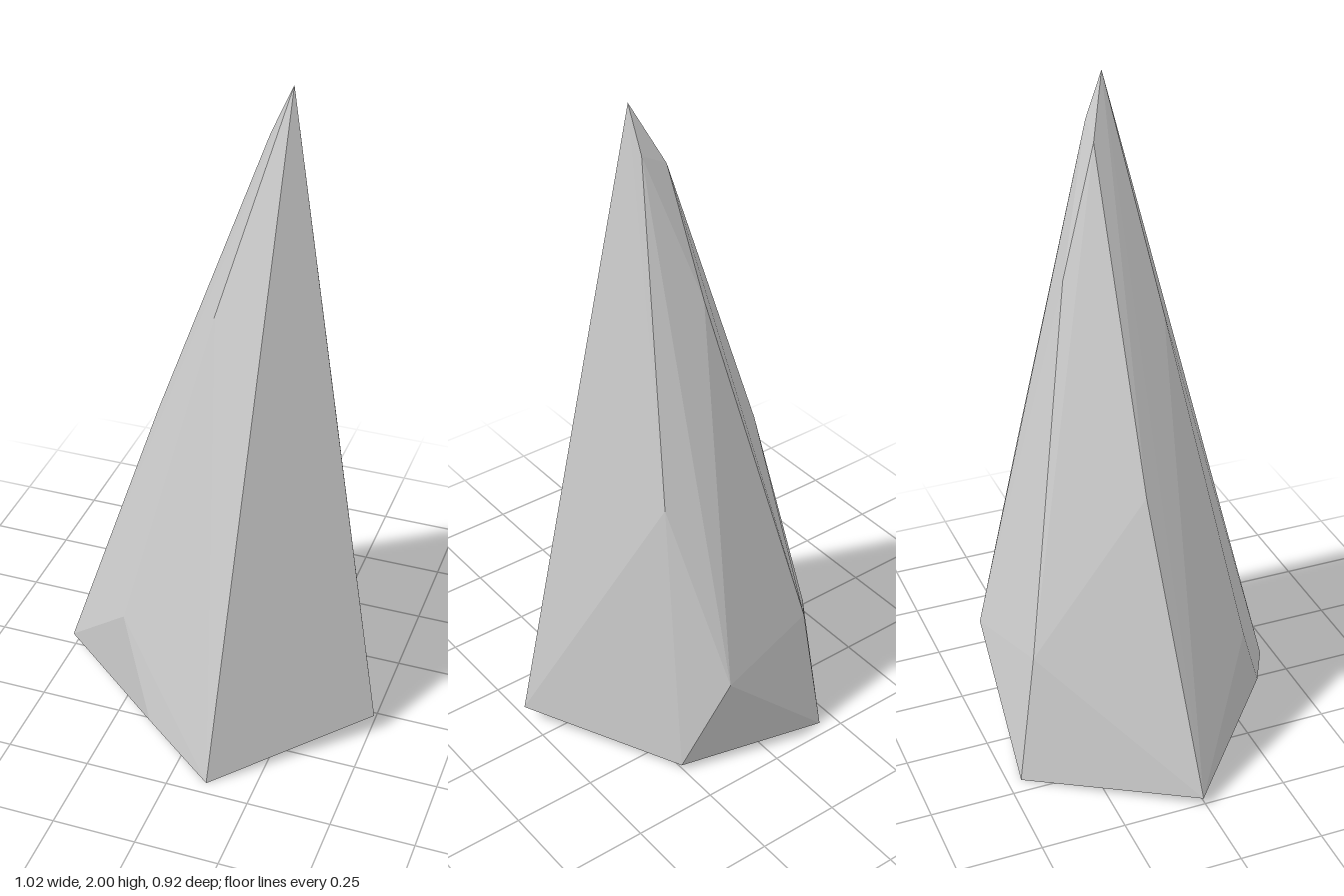
import * as THREE from 'three';
import { ConvexGeometry } from 'three/addons/geometries/ConvexGeometry.js';

// Faceted rock spire: convex hull around a few corner points
export function createModel() {
  const group = new THREE.Group();
  group.name = 'rockSpire';

  const corners = [
    // tip
    [0.18, 2.0, -0.04], [0.10, 1.83, -0.095], [0.175, 1.87, -0.09],
    // shoulders
    [0.06, 1.46, -0.205], [0.0, 1.34, 0.07], [0.25, 0.9, -0.285], [-0.23, 0.9, -0.075],
    // lower chips
    [-0.23, 0.36, 0.235], [-0.17, 0.40, -0.40], [0.15, 0.34, -0.46], [-0.11, 0.08, 0.345],
    // foot
    [0.51, 0.06, 0.08], [0.11, 0, 0.46], [-0.51, 0.03, -0.01], [-0.2, 0, -0.46], [0.255, 0.02, -0.37],
  ].map((p) => new THREE.Vector3(...p));

  const rock = new THREE.Mesh(
    new ConvexGeometry(corners),
    new THREE.MeshStandardMaterial({ color: 0xcccccc, flatShading: true })
  );
  rock.name = 'rock';
  group.add(rock);
  return group;
}
